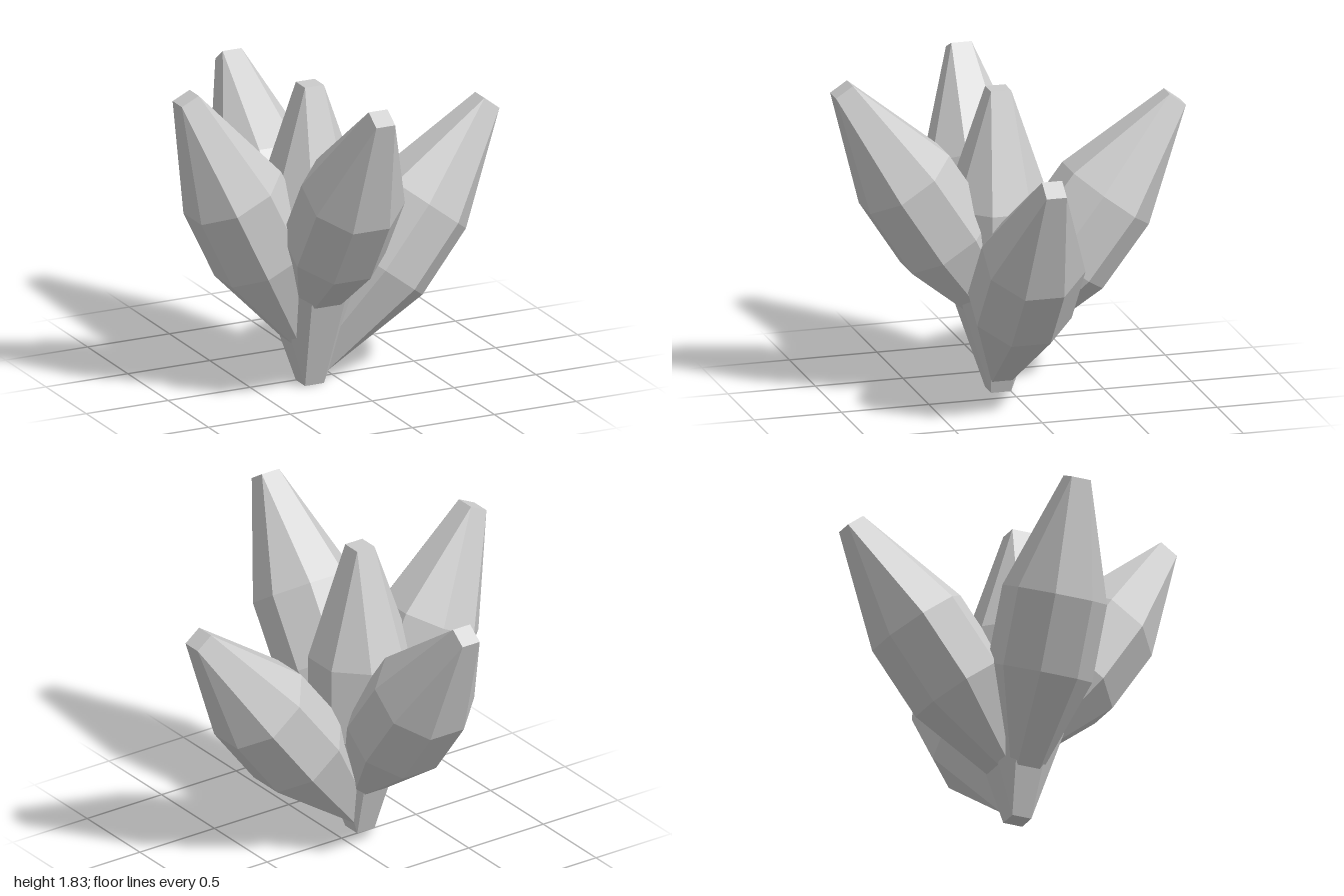
import * as THREE from 'three';
import { ConvexGeometry } from 'three/addons/geometries/ConvexGeometry.js';

const LENGTH = 1.728;
const TIP = 0.0575;    // half width of the square ends
const BELLY = 0.27;    // half width of the octagonal middle
const FACET = 0.112;   // half width of each flat side of the octagon

// One leaf standing on its base: square ends, octagonal prism in the middle
function leafGeometry() {
  const points = [];
  for (const sx of [-1, 1]) {
    for (const sz of [-1, 1]) {
      for (const y of [0, LENGTH]) points.push(new THREE.Vector3(sx * TIP, y, sz * TIP));
      for (const y of [0.64, 1.075]) {
        points.push(new THREE.Vector3(sx * BELLY, y, sz * FACET));
        points.push(new THREE.Vector3(sx * FACET, y, sz * BELLY));
      }
    }
  }
  return new ConvexGeometry(points);
}

export function createModel() {
  const group = new THREE.Group();
  group.name = 'plant';
  const geometry = leafGeometry();
  const material = new THREE.MeshStandardMaterial({ color: 0xcccccc, flatShading: true });

  // name, base position, lean about x and z in degrees
  const leaves = [
    ['centreLeaf', [-0.162, 0, 0.056], 0, 0],
    ['leftLeaf', [-0.135, 0.1, 0.056], 0, -37.7],
    ['rightLeaf', [-0.168, 0.2, 0.056], 0, 25.8],
    ['frontLeaf', [-0.162, 0.354, 0.005], 33.2, 0],
    ['backLeaf', [-0.162, 0.217, 0.095], -37.4, 0],
  ];
  for (const [name, base, leanX, leanZ] of leaves) {
    const leaf = new THREE.Mesh(geometry, material);
    leaf.name = name;
    leaf.position.set(...base);
    leaf.rotation.set(THREE.MathUtils.degToRad(leanX), 0, THREE.MathUtils.degToRad(leanZ));
    group.add(leaf);
  }
  return group;
}
